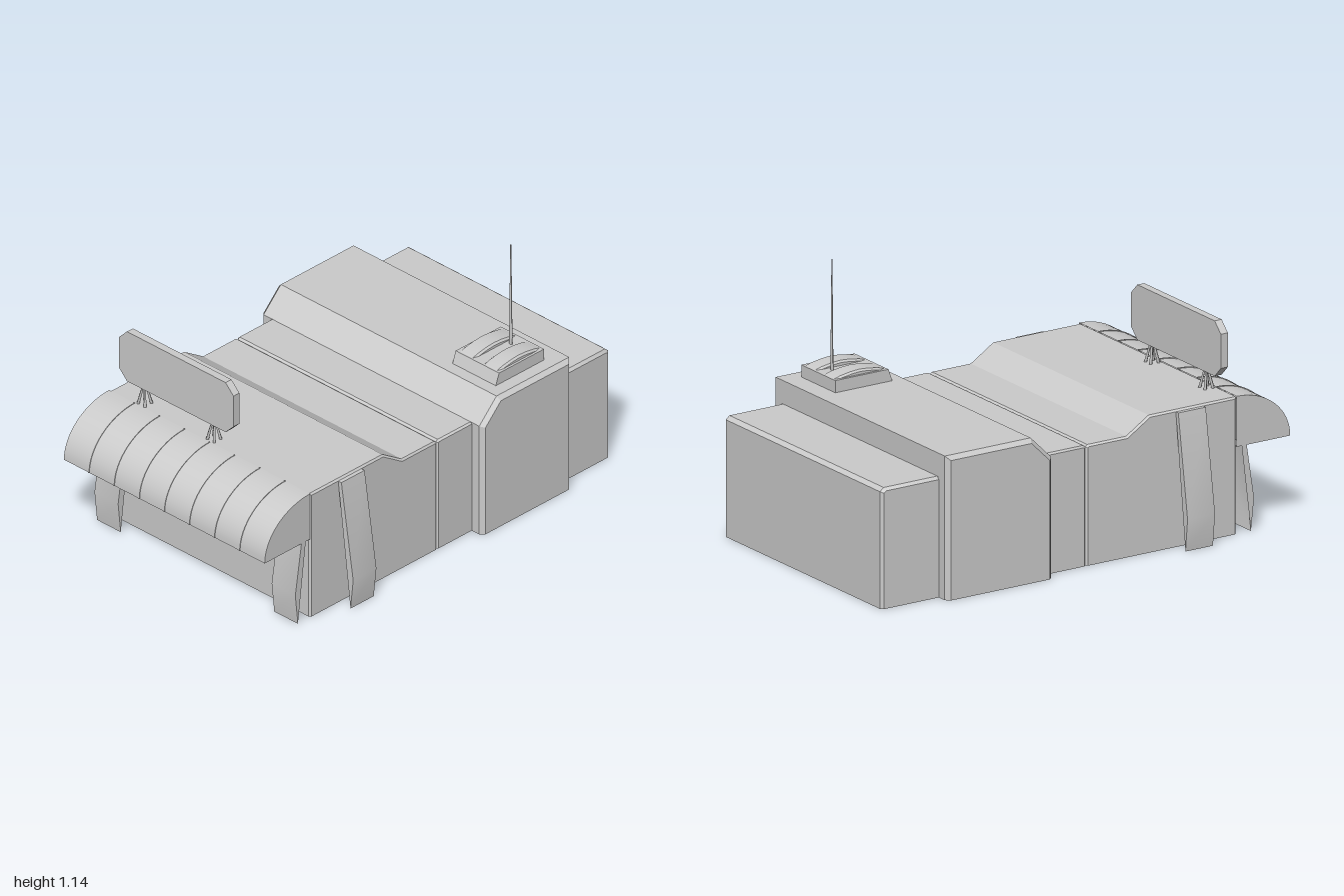
import * as THREE from 'three';
import { toCreasedNormals } from 'three/addons/utils/BufferGeometryUtils.js';

const material = new THREE.MeshStandardMaterial({ color: 0xcccccc, side: THREE.DoubleSide });

// Hollow shell: a closed [z, y] profile swept across x, with chamfered ends.
// gaps[i] describes the wall from point i to the next one:
// 0 = full wall, -1 = open edge, any other number = half width of an opening.
function shell(profile, halfWidth, bevel, gaps) {
  const n = profile.length, out = [], hb = halfWidth - bevel;
  const at = i => profile[(i + n) % n];
  const edge = i => {
    const p = at(i), q = at(i + 1), l = Math.hypot(q[0] - p[0], q[1] - p[1]);
    return { nz: (p[1] - q[1]) / l, ny: (q[0] - p[0]) / l, d: gaps[(i + n) % n] < 0 ? 0 : bevel };
  };
  // corners moved inwards by the bevel, used for the side faces
  const inset = profile.map((p, i) => {
    const a = edge(i - 1), b = edge(i), det = a.nz * b.ny - a.ny * b.nz;
    if (Math.abs(det) < 1e-4) return [p[0] + b.nz * b.d, p[1] + b.ny * b.d];
    return [p[0] + (a.d * b.ny - b.d * a.ny) / det, p[1] + (a.nz * b.d - b.nz * a.d) / det];
  });
  const put = (x, p) => out.push(x, p[1], p[0]);
  const strip = (x0, p0, q0, x1, p1, q1) => {
    put(x0, p0); put(x1, p1); put(x1, q1);
    put(x0, p0); put(x1, q1); put(x0, q0);
  };
  for (let i = 0; i < n; i++) {
    const g = gaps[i], j = (i + 1) % n, p = profile[i], q = profile[j];
    if (g < 0) continue;
    if (g === 0) strip(-hb, p, q, hb, p, q);
    else if (g < hb) {
      strip(-hb, p, q, -g, p, q);
      strip(g, p, q, hb, p, q);
    }
    if (bevel > 0) {
      strip(hb, p, q, halfWidth, inset[i], inset[j]);
      strip(-halfWidth, inset[i], inset[j], -hb, p, q);
    }
  }
  const contour = inset.map(p => new THREE.Vector2(p[0], p[1]));
  for (const [a, b, c] of THREE.ShapeUtils.triangulateShape(contour, [])) {
    for (const k of [a, c, b]) put(halfWidth, inset[k]);
    for (const k of [a, b, c]) put(-halfWidth, inset[k]);
  }
  const geo = new THREE.BufferGeometry();
  geo.setAttribute('position', new THREE.Float32BufferAttribute(out, 3));
  return toCreasedNormals(geo, 0.5);
}

// Quarter-ellipse profile of the awning, grown by a small amount for the ribs
function awningProfile(grow) {
  const pts = [[0.735, 0.372]];
  for (let i = 0; i <= 16; i++) {
    const a = (i / 16) * Math.PI / 2;
    pts.push([0.735 + (0.262 + grow) * Math.cos(a), 0.372 + (0.216 + grow) * Math.sin(a)]);
  }
  return pts;
}

export function createModel() {
  const model = new THREE.Group();
  const add = (name, geo, x = 0, y = 0, z = 0, parent = model) => {
    const mesh = new THREE.Mesh(geo, material);
    mesh.name = name;
    mesh.position.set(x, y, z);
    parent.add(mesh);
    return mesh;
  };

  // Main building, open underneath, split by a shallow seam at z = 0
  add('frontHall', shell(
    [[0.735, 0], [0.735, 0.585], [0.31, 0.585], [0.2, 0.515], [0.01, 0.515], [0, 0.507], [0, 0]],
    0.57, 0.008, [0, 0, 0, 0, 0, 0.57, -1]));
  add('middleHall', shell(
    [[0, 0], [0, 0.507], [-0.01, 0.515], [-0.2, 0.515], [-0.2, 0]],
    0.57, 0.008, [0.57, 0, 0, -1, -1]));
  add('raisedHall', shell(
    [[-0.2, 0], [-0.2, 0.515], [-0.3, 0.615], [-0.72, 0.615], [-0.72, 0.515], [-0.72, 0]],
    0.63, 0.018, [0.565, 0, 0, 0, 0.565, -1]));
  add('backHall', shell(
    [[-0.72, 0], [-0.72, 0.515], [-0.982, 0.515], [-1, 0.5], [-1, 0]],
    0.57, 0.012, [-1, 0, 0, 0, -1]));

  // Curved awning with thin ribs
  const arc = awningProfile(0), arcGaps = arc.map((p, i) => (i === arc.length - 1 ? -1 : 0));
  add('awning', shell(arc, 0.57, 0, arcGaps));
  const rib = shell(awningProfile(0.003), 0.003, 0, arcGaps);
  for (let i = -3; i <= 3; i++) add('awningRib', rib, i * 0.1425);

  // Buttresses on the front corners and on both sides
  const buttress = shell(
    [[0.07, 0], [0.085, 0.14], [0.018, 0.577], [0, 0.577]], 0.067, 0, [0, 0, 0, -1]);
  for (const s of [-1, 1]) {
    add('frontButtress', buttress, s * 0.503, 0, 0.735);
    add('sideButtress', buttress, s * 0.57, 0, 0.505).rotation.y = s * Math.PI / 2;
  }

  // Sign board with clipped corners
  const w = 0.325, h = 0.118, c = 0.045;
  const outline = new THREE.Shape([
    [-w + c, -h], [w - c, -h], [w, -h + c], [w, h - c],
    [w - c, h], [-w + c, h], [-w, h - c], [-w, -h + c],
  ].map(p => new THREE.Vector2(...p)));
  add('signBoard', new THREE.ExtrudeGeometry(outline, { depth: 0.034, bevelEnabled: false }),
    -0.205, 0.778, 0.685);

  // Splayed legs under the sign
  const up = new THREE.Vector3(0, 1, 0);
  for (const x of [-0.4, -0.007]) {
    const stand = new THREE.Group();
    stand.name = 'signStand';
    stand.position.set(x, 0.58, 0.702);
    model.add(stand);
    for (const sx of [-1, 1]) for (const sz of [-1, 1]) {
      const foot = new THREE.Vector3(sx * 0.02, 0, sz * 0.02);
      const dir = new THREE.Vector3(sx * 0.006, 0.085, sz * 0.004).sub(foot);
      const mid = foot.clone().addScaledVector(dir, 0.5);
      add('signLeg', new THREE.CylinderGeometry(0.005, 0.008, dir.length(), 4),
        mid.x, mid.y, mid.z, stand).quaternion.setFromUnitVectors(up, dir.clone().normalize());
    }
  }

  // Roof unit with two arched covers and an antenna
  add('roofUnit', shell(
    [[-0.353, 0.612], [-0.373, 0.667], [-0.633, 0.667], [-0.633, 0.612]],
    0.123, 0, [0, 0, 0, 0]), 0.432);
  const cover = shell(
    [[-0.373, 0.665], [-0.41, 0.676], [-0.46, 0.684], [-0.503, 0.687],
      [-0.546, 0.684], [-0.596, 0.676], [-0.633, 0.665]],
    0.043, 0.008, [0, 0, 0, 0, 0, 0, -1]);
  for (const s of [-1, 1]) add('roofUnitCover', cover, 0.432 + s * 0.069);
  add('antenna', new THREE.CylinderGeometry(0.003, 0.009, 0.475, 6), 0.431, 0.9025, -0.567).scale.z = 0.5;

  return model;
}
